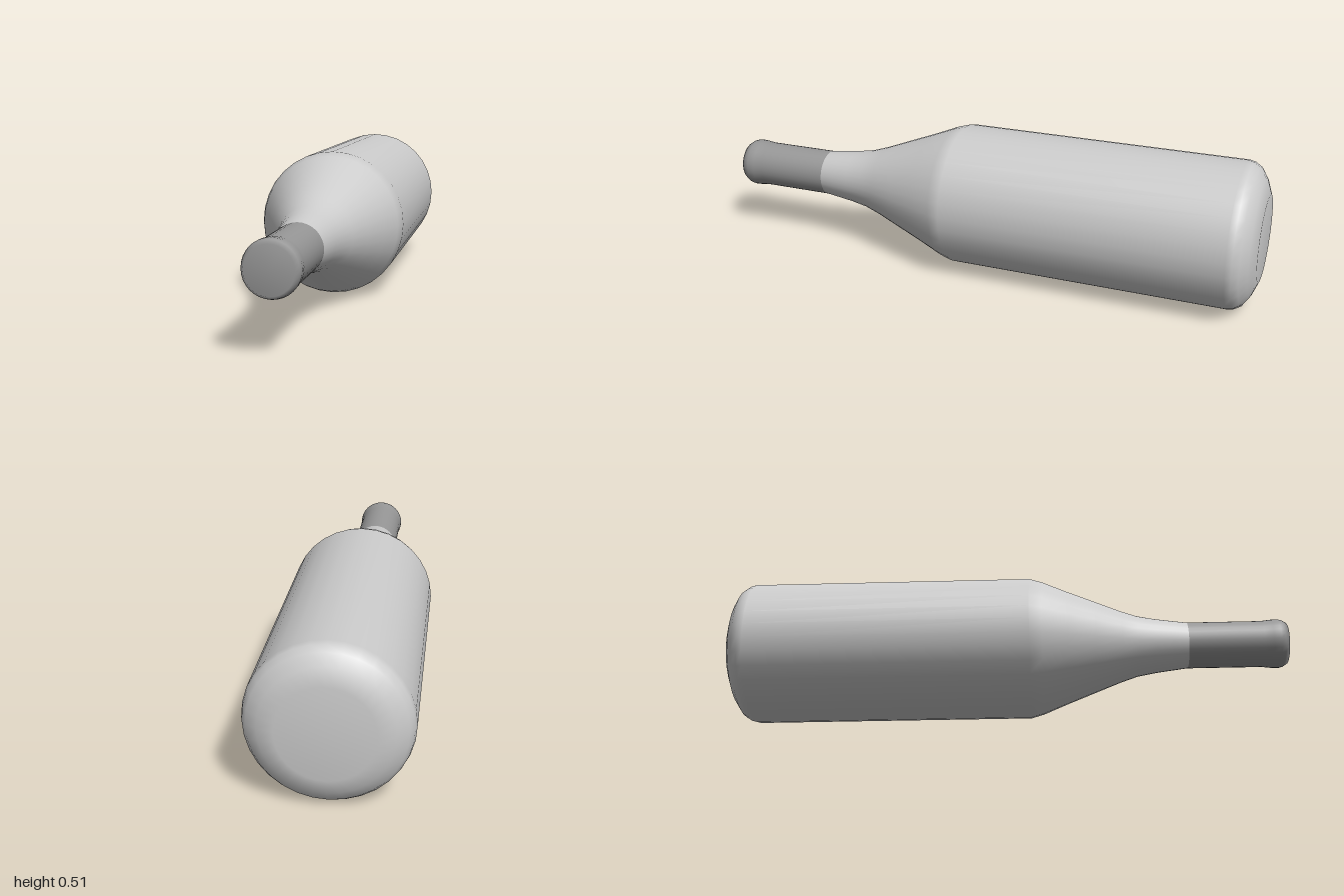
import * as THREE from 'three';

const RADIUS = 0.254;

// Turned part: profile of [radius, z] pairs running from back to front
function turned(name, profile, color) {
  const points = profile.map(([r, z]) => new THREE.Vector2(r, z));
  const geometry = new THREE.LatheGeometry(points, 32);
  geometry.rotateX(Math.PI / 2);
  const mesh = new THREE.Mesh(geometry, new THREE.MeshStandardMaterial({ color }));
  mesh.name = name;
  mesh.position.y = RADIUS;
  return mesh;
}

export function createModel() {
  const group = new THREE.Group();
  group.name = 'bottle';

  // Base, straight body and tapering shoulder
  group.add(turned('bottleBody', [
    [0, -1], [0.148, -1], [0.2, -0.98], [0.235, -0.957], [0.249, -0.935], [RADIUS, -0.915],
    [RADIUS, 0.08], [0.241, 0.125], [0.206, 0.21], [0.167, 0.31], [0.13, 0.405],
    [0.11, 0.465], [0.098, 0.53], [0.09, 0.59], [0.083, 0.645],
  ], 0xcccccc));

  // Darker wrapped neck with a slightly flared, closed lip
  group.add(turned('neckWrap', [
    [0.083, 0.645], [0.083, 0.91], [0.087, 0.945], [0.088, 0.97], [0.084, 0.985],
    [0.074, 1], [0, 1],
  ], 0x979797));

  return group;
}
